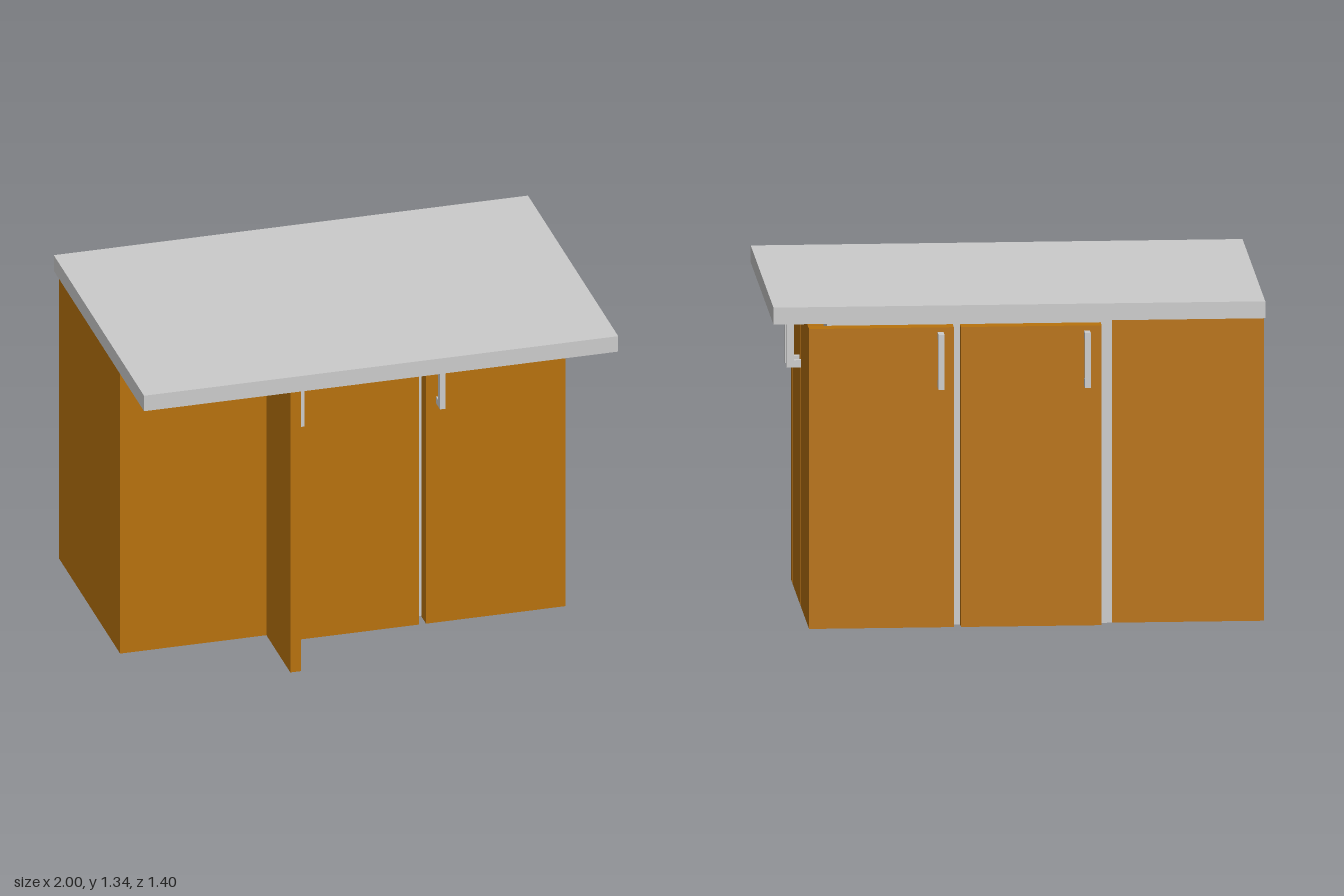
import * as THREE from 'three';

const grey = new THREE.MeshStandardMaterial({ color: 0xcccccc });
const wood = new THREE.MeshStandardMaterial({ color: 0xb8720d });

// Box given by its extents on each axis
function block(name, [x0, x1], [y0, y1], [z0, z1], material) {
  const mesh = new THREE.Mesh(new THREE.BoxGeometry(x1 - x0, y1 - y0, z1 - z0), material);
  mesh.position.set((x0 + x1) / 2, (y0 + y1) / 2, (z0 + z1) / 2);
  mesh.name = name;
  return mesh;
}

// C-shaped pull, standing out along +z from z = 0
function handle(name) {
  const s = new THREE.Shape();
  [[0, 0], [0.06, 0], [0.06, 0.227], [0, 0.227], [0, 0.197], [0.03, 0.197], [0.03, 0.03], [0, 0.03]]
    .forEach(([x, y], i) => (i ? s.lineTo(x, y) : s.moveTo(x, y)));
  const g = new THREE.ExtrudeGeometry(s, { depth: 0.024, bevelEnabled: false });
  g.translate(0, 0, -0.012);
  g.rotateY(-Math.PI / 2);
  const mesh = new THREE.Mesh(g, grey);
  mesh.name = name;
  return mesh;
}

export function createModel() {
  const model = new THREE.Group();
  model.name = 'kitchenIsland';
  const full = [0, 1.265];
  const doorY = [0.005, 1.244];
  const depth = [-0.56, 0.345];
  // Grey box with one wooden underside, and the reverse for the fin
  const woodBase = [grey, grey, grey, wood, grey, grey];
  const greyBase = [wood, wood, wood, grey, wood, wood];

  model.add(
    block('countertop', [-1, 1], [1.265, 1.335], [-0.64, 0.7], grey),
    block('endCabinet', [-1, -0.383], full, depth, wood),
    block('doorCabinet', [-0.383, 0.777], full, depth, woodBase),
    block('supportFin', [-0.383, -0.337], full, [0.345, 0.7], greyBase),
  );

  // Doors and handles on the front and back
  for (const [side, z, turn] of [['front', [0.365, 0.43], 0], ['back', [-0.636, -0.571], Math.PI]]) {
    [[-0.335, 0.237, -0.275], [0.266, 0.855, 0.32]].forEach(([x0, x1, hx], i) => {
      model.add(block(`${side}Door${i + 1}`, [x0, x1], doorY, z, wood));
      const h = handle(`${side}Handle${i + 1}`);
      h.position.set(hx, 0.997, turn ? z[0] : z[1]);
      h.rotation.y = turn;
      model.add(h);
    });
  }

  // Pair of doors on the left end
  [[-0.109, 0.33, -0.067], [-0.56, -0.119, -0.163]].forEach(([z0, z1, hz], i) => {
    model.add(block(`endDoor${i + 1}`, [0.79, 0.855], doorY, [z0, z1], wood));
    const h = handle(`endHandle${i + 1}`);
    h.position.set(0.855, 0.997, hz);
    h.rotation.y = Math.PI / 2;
    model.add(h);
  });
  return model;
}
